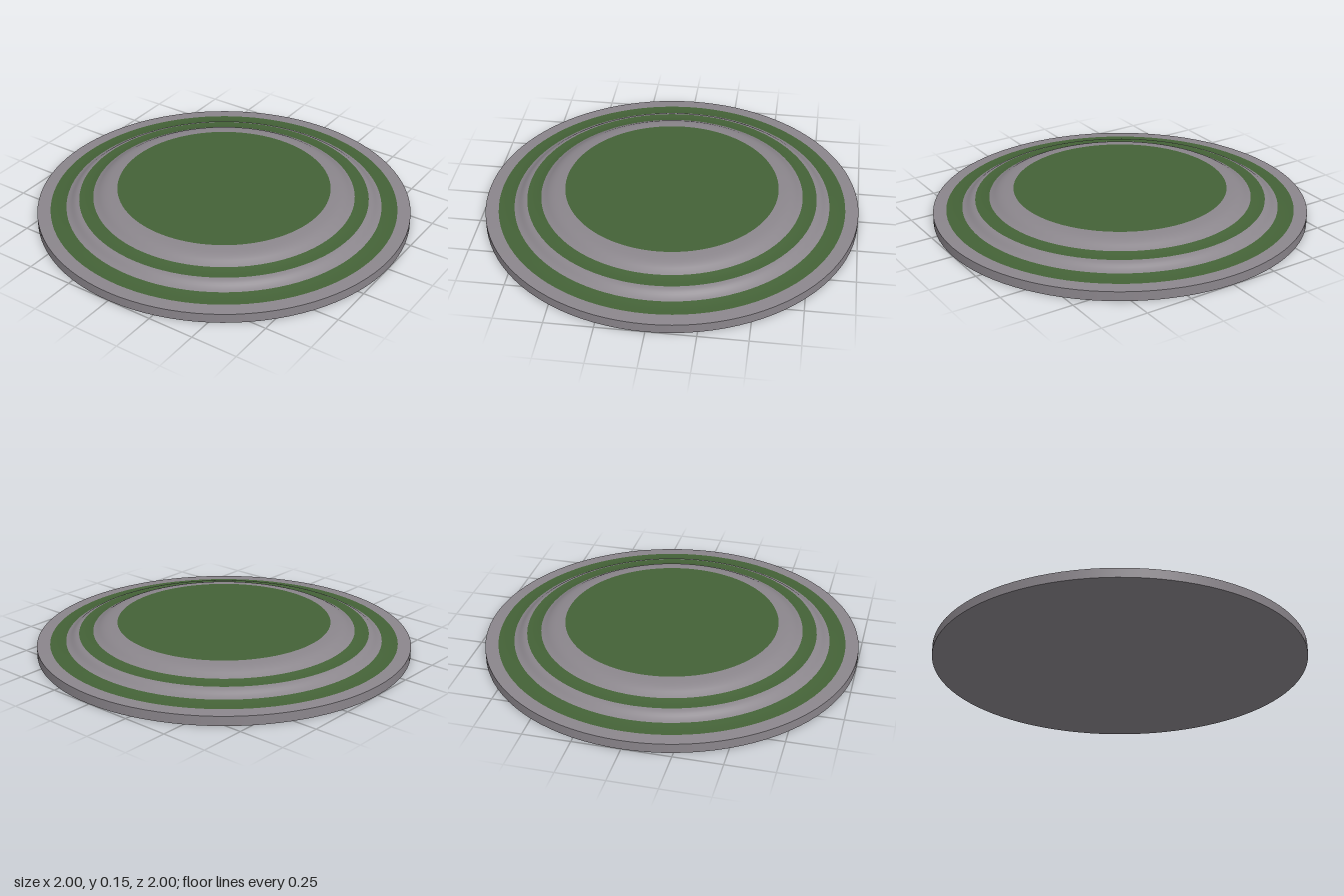
import * as THREE from 'three';

const SEGMENTS = 96;

export function createModel() {
  const group = new THREE.Group();
  const stone = new THREE.MeshStandardMaterial({ color: 0x8b868c });
  stone.name = 'stone grey';
  const grass = new THREE.MeshStandardMaterial({ color: 0x446237 });
  grass.name = 'moss green';

  const add = (name, geometry, material) => {
    const mesh = new THREE.Mesh(geometry, material);
    mesh.name = name;
    group.add(mesh);
    return mesh;
  };

  // Revolves a profile running from bottom/outside to top/inside
  const ring = (name, points, material) =>
    add(name, new THREE.LatheGeometry(points, SEGMENTS), material);

  const v = (r, y) => new THREE.Vector2(r, y);

  // Flat underside and upright rim
  add('underside', new THREE.CircleGeometry(1, SEGMENTS).rotateX(Math.PI / 2), stone);
  ring('rimWall', [v(1, 0), v(1, 0.05)], stone);

  // Terraced surface as concentric bands: outer lip, low terrace, lower slope, upper terrace, upper slope
  const bands = [
    ['outerLip', stone, [v(1, 0.05), v(0.965, 0.052), v(0.93, 0.054)]],
    ['lowerTerrace', grass, [v(0.93, 0.054), v(0.885, 0.057), v(0.845, 0.064)]],
    ['lowerSlope', stone, [v(0.845, 0.064), v(0.825, 0.073), v(0.805, 0.088), v(0.79, 0.096), v(0.775, 0.1)]],
    ['upperTerrace', grass, [v(0.775, 0.1), v(0.735, 0.102), v(0.7, 0.109)]],
    ['upperSlope', stone, [v(0.7, 0.109), v(0.68, 0.119), v(0.655, 0.134), v(0.62, 0.145), v(0.57, 0.15)]],
  ];
  for (const [name, material, points] of bands) {
    ring(name, new THREE.SplineCurve(points).getPoints(8), material);
  }

  // Flat top
  const top = add('topPlateau', new THREE.CircleGeometry(0.57, SEGMENTS).rotateX(-Math.PI / 2), grass);
  top.position.y = 0.15;

  return group;
}
